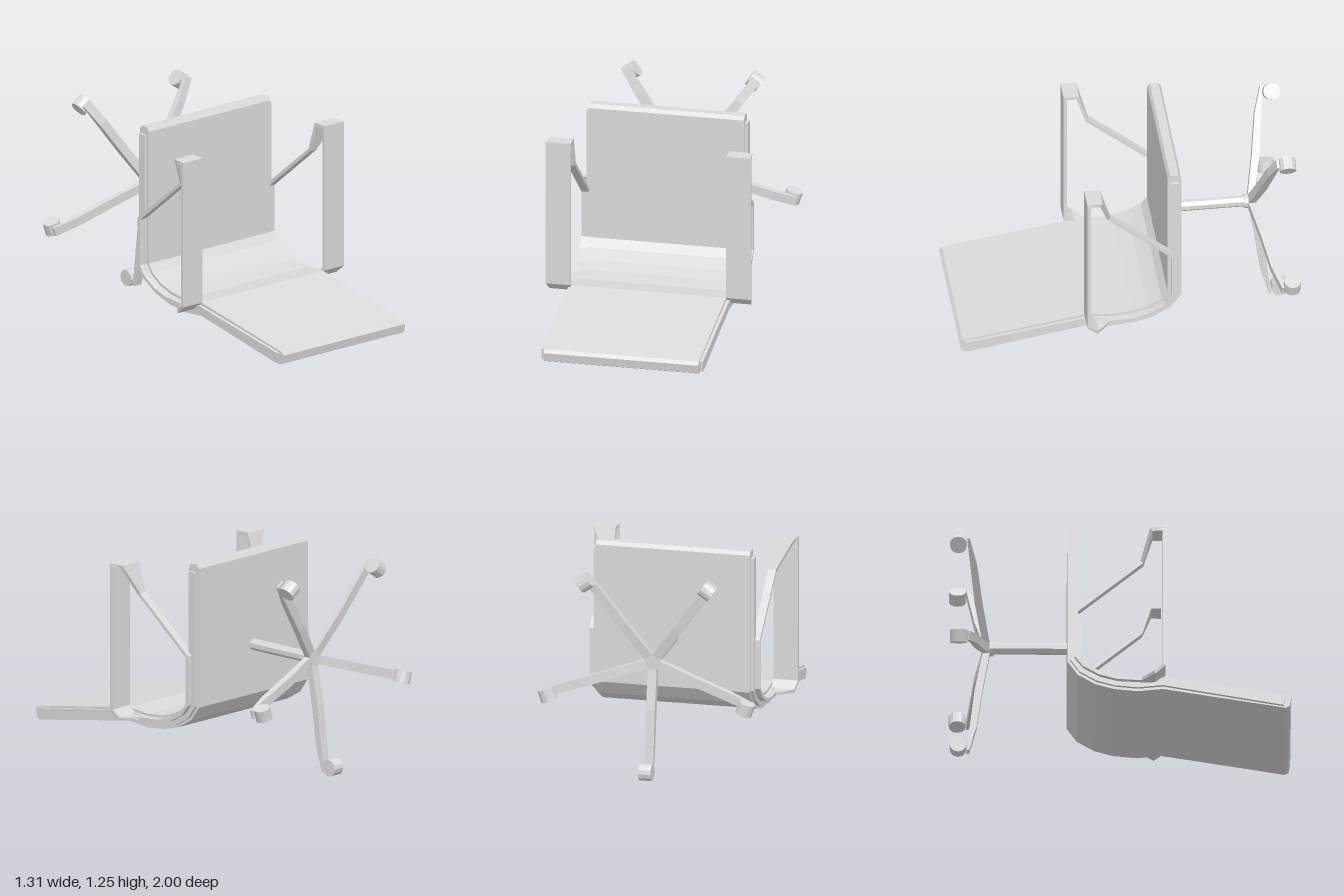
import * as THREE from 'three';

const grey = new THREE.MeshStandardMaterial({ color: 0xdadada, flatShading: true });
grey.name = 'plain grey';

function add(parent, name, geometry) {
  const mesh = new THREE.Mesh(geometry, grey);
  mesh.name = name;
  parent.add(mesh);
  return mesh;
}

// Extrude a [z, y] outline along x from x0 to x1.
function extrudeX(outline, x0, x1) {
  const shape = new THREE.Shape(outline.map(([z, y]) => new THREE.Vector2(z, y)));
  const g = new THREE.ExtrudeGeometry(shape, { depth: x1 - x0, bevelEnabled: false });
  return g.rotateY(-Math.PI / 2).translate(x1, 0, 0);
}

// Mitred side offset of a path at point i.
function offset(path, i, closed) {
  const n = path.length;
  const at = k => new THREE.Vector2(...path[closed ? (k + n) % n : Math.min(Math.max(k, 0), n - 1)]);
  const p = at(i);
  let a = p.clone().sub(at(i - 1)), b = at(i + 1).sub(p);
  if (a.length() === 0) a = b.clone();
  if (b.length() === 0) b = a.clone();
  a.normalize(); b.normalize();
  const t = a.clone().add(b).normalize();
  return new THREE.Vector2(-t.y, t.x).divideScalar(Math.max(t.dot(a), 0.6));
}

// Outline of a band following [z, y, halfThickness] points.
function band(path) {
  const one = [], two = [];
  path.forEach(([z, y, h], i) => {
    const o = offset(path, i, false);
    one.push([z + o.x * h, y + o.y * h]);
    two.unshift([z - o.x * h, y - o.y * h]);
  });
  return one.concat(two);
}

// Closed strap following [z, y, outerX] points, with a rectangular section.
function strap(path, innerX, half) {
  const pos = [], idx = [], n = path.length;
  path.forEach(([z, y, outerX], i) => {
    const o = offset(path, i, true).multiplyScalar(half);
    for (const [x, s] of [[innerX, 1], [outerX, 1], [outerX, -1], [innerX, -1]])
      pos.push(x, y + o.y * s, z + o.x * s);
    for (let k = 0; k < 4; k++) {
      const a = i * 4 + k, b = i * 4 + (k + 1) % 4;
      const c = ((i + 1) % n) * 4 + k, d = ((i + 1) % n) * 4 + (k + 1) % 4;
      idx.push(a, c, b, b, c, d);
    }
  });
  const g = new THREE.BufferGeometry();
  g.setAttribute('position', new THREE.Float32BufferAttribute(pos, 3));
  g.setIndex(idx);
  const flat = g.toNonIndexed();
  flat.computeVertexNormals();
  return flat;
}

// Mirror a geometry across x = 0 and restore the corner order.
function mirrorX(geometry) {
  const g = geometry.clone().scale(-1, 1, 1);
  const p = g.attributes.position;
  const v = new THREE.Vector3(), w = new THREE.Vector3();
  for (let i = 0; i < p.count; i += 3) {
    v.fromBufferAttribute(p, i + 1);
    w.fromBufferAttribute(p, i + 2);
    p.setXYZ(i + 1, w.x, w.y, w.z);
    p.setXYZ(i + 2, v.x, v.y, v.z);
  }
  g.computeVertexNormals();
  return g;
}

export function createModel() {
  const chair = new THREE.Group();
  chair.name = 'fallenOfficeChair';

  // One-piece seat and backrest, the chair lying on its back
  const bend = [[0.25, 0.25], [0.1, 0.235], [-0.03, 0.248], [-0.13, 0.276], [-0.222, 0.33], [-0.27, 0.397]];
  const curve = h => bend.map(([z, y]) => [z, y, h]);
  add(chair, 'seatShell', extrudeX(band([
    [0.996, 0.126, 0.026], [0.975, 0.13, 0.041], ...curve(0.041),
    [-0.27, 1.222, 0.04], [-0.27, 1.245, 0.025],
  ]), -0.465, 0.465));

  // Side rails
  const rail = extrudeX(band([[0.962, 0.131, 0.032], ...curve(0.025), [-0.27, 1.2, 0.025]]), 0.465, 0.485);
  add(chair, 'leftRail', rail);
  add(chair, 'rightRail', mirrorX(rail));

  // Looped armrests, wide at the pad and narrow along the rail
  const arm = strap([
    [0.254, 1.175, 0.616], [0.18, 1.175, 0.606], [0.125, 1.005, 0.515], [-0.26, 0.69, 0.515],
    [-0.26, 0.4, 0.515], [-0.21, 0.338, 0.515], [-0.12, 0.288, 0.515], [-0.02, 0.26, 0.515],
    [0.125, 0.252, 0.515], [0.2, 0.253, 0.606], [0.254, 0.3, 0.616],
  ], 0.467, 0.01);
  add(chair, 'leftArmrest', arm);
  add(chair, 'rightArmrest', mirrorX(arm));

  // Gas column and hub
  const axisY = 0.679;
  add(chair, 'column', new THREE.CylinderGeometry(0.034, 0.034, 0.48, 8)
    .rotateY(Math.PI / 8).rotateX(Math.PI / 2).translate(0, axisY + 0.003, -0.53));
  add(chair, 'hub', new THREE.CylinderGeometry(0.042, 0.042, 0.07, 10)
    .rotateX(Math.PI / 2).translate(0, axisY, -0.775));

  // Five curved legs with casters
  const legOutline = [
    [-0.757, 0], [-0.765, -0.045], [-0.806, -0.275], [-0.84, -0.51], [-0.884, -0.665],
    [-0.898, -0.665], [-0.88, -0.51], [-0.852, -0.275], [-0.807, -0.045], [-0.8, 0],
  ];
  for (let i = 0; i < 5; i++) {
    const spoke = new THREE.Group();
    spoke.name = 'baseSpoke' + (i + 1);
    spoke.position.y = axisY;
    spoke.rotation.z = i * Math.PI * 2 / 5;
    add(spoke, 'leg', extrudeX(legOutline, -0.027, 0.027));
    add(spoke, 'caster', new THREE.CylinderGeometry(0.05, 0.05, 0.074, 12)
      .rotateZ(Math.PI / 2).translate(0, -0.629, -0.949));
    chair.add(spoke);
  }
  return chair;
}
